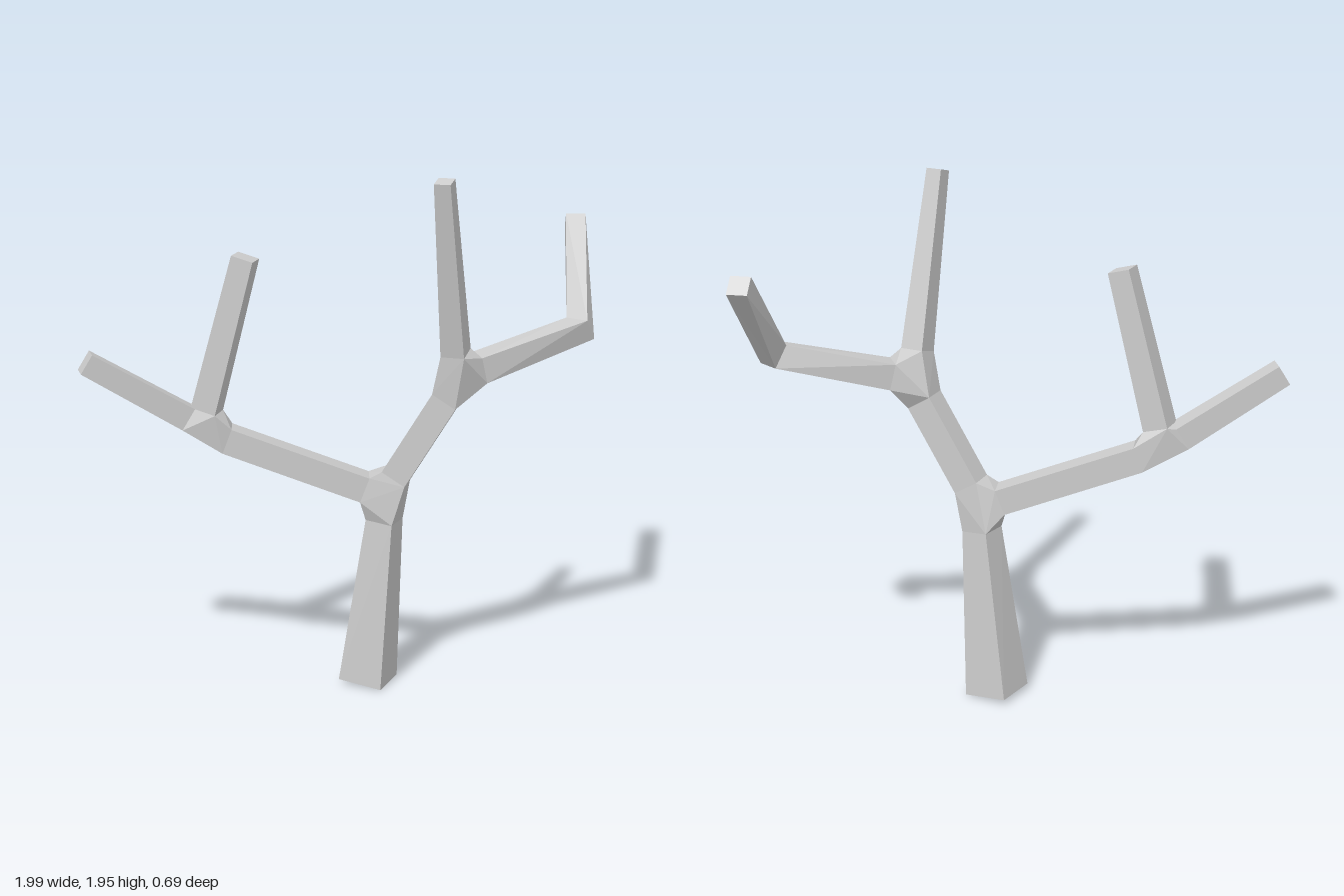
import * as THREE from 'three';
import { ConvexGeometry } from 'three/addons/geometries/ConvexGeometry.js';

const UP = new THREE.Vector3(0, 1, 0);

// Square cross-section centred on c, facing along d, with two edges kept horizontal.
function ring(c, d, size) {
  const centre = new THREE.Vector3(...c);
  const dir = new THREE.Vector3(...d).normalize();
  const side = new THREE.Vector3().crossVectors(dir, UP).normalize();
  const top = new THREE.Vector3().crossVectors(side, dir);
  return [[1, 1], [1, -1], [-1, -1], [-1, 1]].map(([s, t]) =>
    centre.clone().addScaledVector(side, s * size / 2).addScaledVector(top, t * size / 2));
}

// The two end sections of a straight limb, both square to its axis.
function limb(a, sizeA, b, sizeB) {
  const d = b.map((v, i) => v - a[i]);
  return [ring(a, d, sizeA), ring(b, d, sizeB)];
}

export function createModel() {
  const group = new THREE.Group();
  const material = new THREE.MeshStandardMaterial({ color: 0xcccccc, flatShading: true });

  // Faceted solid spanning any number of sections.
  const span = (name, ...rings) => {
    const mesh = new THREE.Mesh(new ConvexGeometry(rings.flat()), material);
    mesh.name = name;
    group.add(mesh);
  };

  // Trunk and the bough that continues it
  const trunk = [
    ring([0.02, 0.011, -0.045], [0.08, 1, 0.08], 0.17),
    ring([0.065, 0.65, 0.003], [0.045, 0.64, 0.048], 0.105),
  ];
  const mainBough = limb([0.1, 0.82, 0.03], 0.1, [0.25, 1.125, 0.14], 0.1);

  // Right-hand side of the front view: upright shoot, side bough with a bent tip
  const upperShoot = limb([0.265, 1.305, 0.183], 0.088, [0.158, 1.945, 0.303], 0.06);
  const leftBough = [
    ring([0.375, 1.23, 0.147], [0.43, 0.1, -0.015], 0.098),
    ring([0.8, 1.338, 0.133], [1.28, 0.94, -0.68], 0.092),
  ];
  const leftTip = ring([0.948, 1.685, -0.197], [0.15, 0.355, -0.325], 0.074);

  // Other side: long bough, outer tip and upright shoot
  const rightBough = limb([-0.002, 0.775, -0.027], 0.098, [-0.47, 0.965, -0.21], 0.096);
  const rightTip = limb([-0.61, 1.05, -0.257], 0.09, [-0.97, 1.277, -0.307], 0.08);
  const rightShoot = limb([-0.54, 1.08, -0.23], 0.095, [-0.417, 1.648, -0.135], 0.082);

  span('trunk', ...trunk);
  span('mainBough', ...mainBough);
  span('upperShoot', ...upperShoot);
  span('leftBough', ...leftBough);
  span('leftBoughTip', leftBough[1], leftTip);
  span('rightBough', ...rightBough);
  span('rightBoughTip', ...rightTip);
  span('rightShoot', ...rightShoot);

  // Forks joining the limbs
  span('trunkFork', trunk[1], mainBough[0], rightBough[0]);
  span('upperFork', mainBough[1], upperShoot[0], leftBough[0]);
  span('rightFork', rightBough[1], rightTip[0], rightShoot[0]);

  return group;
}
